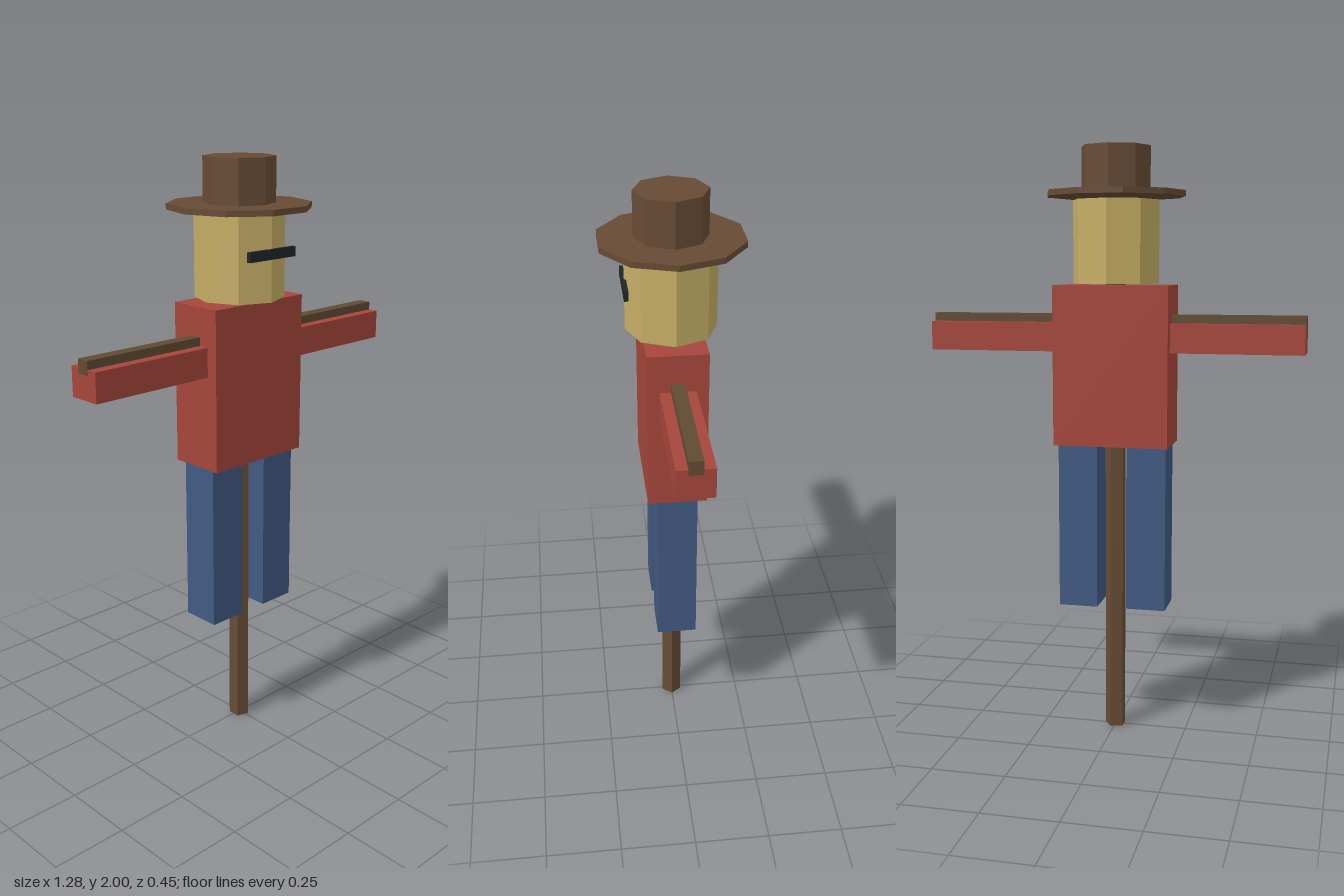
import * as THREE from 'three';

const mat = (name, color) => {
  const m = new THREE.MeshStandardMaterial({ color, flatShading: true });
  m.name = name;
  return m;
};

export function createModel() {
  const root = new THREE.Group();
  root.name = 'scarecrow';

  const brown = mat('brown felt and pole', 0x674b35);
  const wood = mat('crossbar wood', 0x604b33);
  const red = mat('red shirt', 0xa6463b);
  const blue = mat('blue trousers', 0x415a82);
  const straw = mat('straw sack', 0xc6ae66);
  const black = mat('black band', 0x202527);

  const add = (name, geometry, material, x, y, z) => {
    const mesh = new THREE.Mesh(geometry, material);
    mesh.name = name;
    mesh.position.set(x, y, z);
    root.add(mesh);
    return mesh;
  };
  const box = (name, material, w, y0, y1, d, x = 0, z = 0) =>
    add(name, new THREE.BoxGeometry(w, y1 - y0, d), material, x, (y0 + y1) / 2, z);
  // Upright prism with one corner pointing to +x
  const prism = (name, material, r, sides, y0, y1) =>
    add(name, new THREE.CylinderGeometry(r, r, y1 - y0, sides, 1, false, Math.PI / 2),
      material, 0, (y0 + y1) / 2, 0);

  // Wooden frame
  prism('pole', brown, 0.036, 5, 0, 1.556);
  box('crossbar', wood, 1.276, 1.404, 1.45, 0.044);

  // Clothes
  box('shirt', red, 0.39, 1.01, 1.547, 0.194);
  for (const [side, s] of [['left', 1], ['right', -1]]) {
    box(side + 'Sleeve', red, 0.457, 1.325, 1.422, 0.116, s * 0.4085);
    box(side + 'Leg', blue, 0.134, 0.445, 1.015, 0.135, s * 0.118);
  }

  // Head with a dark band for eyes
  prism('head', straw, 0.147, 8, 1.552, 1.826);
  box('eyeBand', black, 0.202, 1.69, 1.722, 0.014, 0, 0.147);

  // Hat
  prism('hatBrim', brown, 0.235, 10, 1.836, 1.855);
  prism('hatCrown', brown, 0.117, 8, 1.85, 2);

  return root;
}
